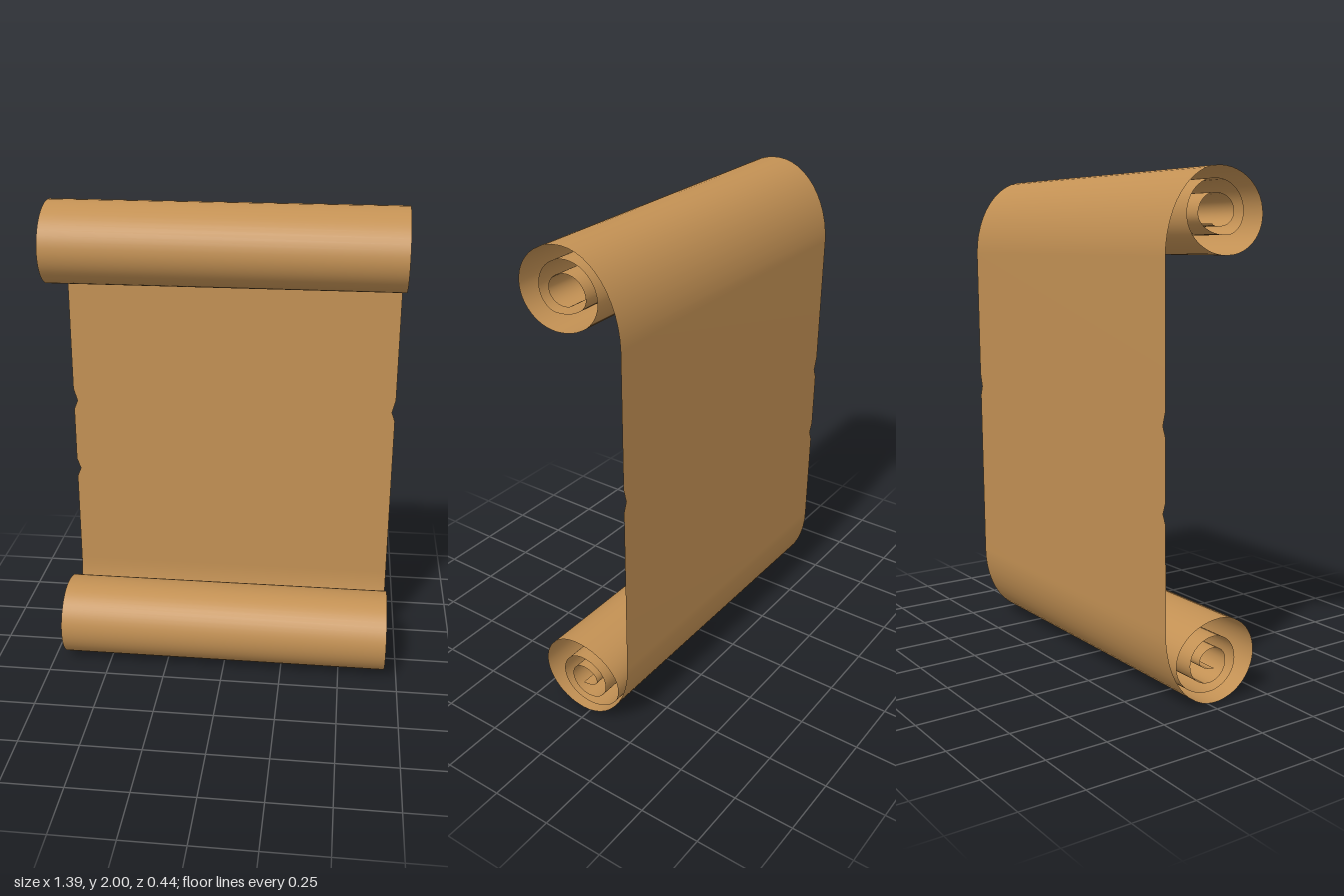
import * as THREE from 'three';

// Each roll is listed as its outermost points (z, y) from the sheet inwards;
// a quarter ellipse joins each pair, starting upright, then level, and so on.
const topRoll = [
  [-0.222, 1.68], [0.02, 2.0], [0.222, 1.83], [0.06, 1.683],
  [-0.13, 1.83], [0.0, 1.955], [0.13, 1.84], [0.05, 1.755],
  [-0.08, 1.83], [0.0, 1.905], [0.085, 1.84], [0.02, 1.785], [-0.015, 1.795],
];
const bottomRoll = [
  [-0.205, 0.32], [0.03, 0], [0.218, 0.17], [0.05, 0.33],
  [-0.155, 0.18], [0.0, 0.05], [0.125, 0.16], [0.02, 0.265],
  [-0.09, 0.17], [0.0, 0.085], [0.08, 0.16], [0.02, 0.22],
  [-0.045, 0.175], [0.025, 0.138],
];

function spiral(points, steps = 12) {
  const path = [points[0]];
  for (let i = 0; i < points.length - 1; i++) {
    const [z0, y0] = points[i];
    const [z1, y1] = points[i + 1];
    for (let s = 1; s <= steps; s++) {
      const t = (s / steps) * Math.PI / 2;
      const slow = 1 - Math.cos(t), fast = Math.sin(t);
      const upright = i % 2 === 0;
      path.push([
        z0 + (z1 - z0) * (upright ? slow : fast),
        y0 + (y1 - y0) * (upright ? fast : slow),
      ]);
    }
  }
  return path;
}

// Small tears along the side edges: rows of [y, left inset, right inset]
const tears = [
  [1.14, 0, 0], [1.085, 0.016, 0.014], [1.045, 0, 0],
  [0.81, 0, 0], [0.765, 0.016, 0], [0.725, 0, 0],
];

function parchmentGeometry() {
  const rows = [];
  const addRow = (z, y, insetA = 0, insetB = 0) => rows.push([-0.697 + insetA, 0.697 - insetB, y, z]);

  spiral(topRoll).reverse().forEach(([z, y]) => addRow(z, y));
  for (const [y, a, b] of tears) {
    addRow(THREE.MathUtils.mapLinear(y, 1.68, 0.32, -0.222, -0.205), y, a, b);
  }
  spiral(bottomRoll).forEach(([z, y]) => addRow(z, y));

  const positions = [], index = [];
  rows.forEach(([xa, xb, y, z], i) => {
    positions.push(xa, y, z, xb, y, z);
    if (i < rows.length - 1) {
      const k = i * 2;
      index.push(k, k + 2, k + 1, k + 1, k + 2, k + 3);
    }
  });
  const geometry = new THREE.BufferGeometry();
  geometry.setAttribute('position', new THREE.Float32BufferAttribute(positions, 3));
  geometry.setIndex(index);
  geometry.computeVertexNormals();
  return geometry;
}

export function createModel() {
  const group = new THREE.Group();
  group.name = 'scroll';

  // One thin sheet, curled forward at both ends
  const parchment = new THREE.MeshStandardMaterial({ color: 0xc39154, side: THREE.DoubleSide });
  parchment.name = 'parchment';
  const sheet = new THREE.Mesh(parchmentGeometry(), parchment);
  sheet.name = 'parchmentSheet';
  group.add(sheet);

  return group;
}
